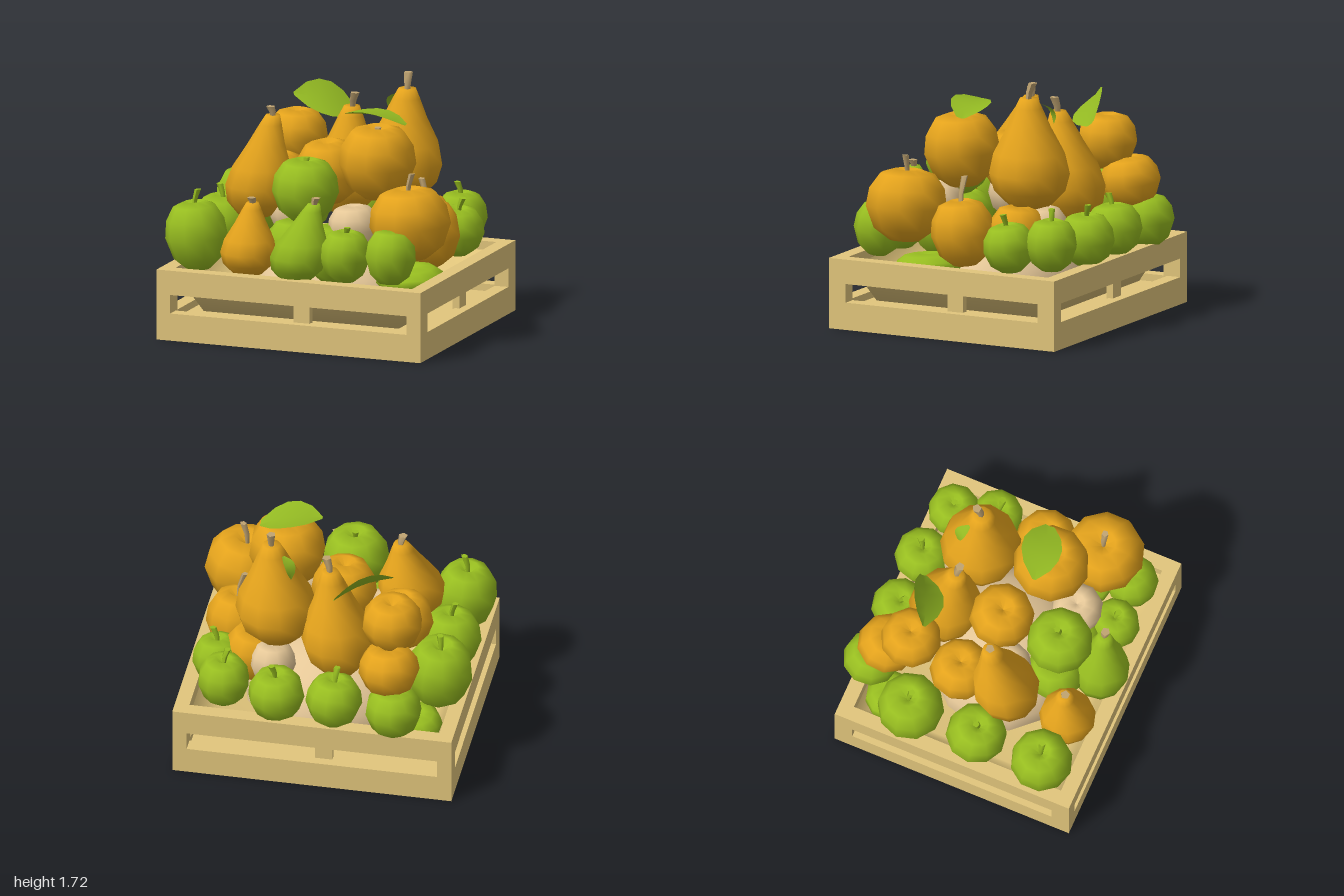
import * as THREE from 'three';

const mat = (name, color, side = THREE.FrontSide) => {
  const m = new THREE.MeshStandardMaterial({ color, side });
  m.name = name;
  return m;
};

export function createModel() {
  const root = new THREE.Group();
  root.name = 'fruitCrate';
  const wood = mat('crateWood', 0xe2c67c, THREE.DoubleSide);
  const tan = mat('paleSkin', 0xe6c898);
  const orange = mat('orangeSkin', 0xe4a31c);
  const green = mat('greenSkin', 0x98be20);
  const leafGreen = mat('leafGreen', 0x92b822, THREE.DoubleSide);
  const stemBrown = mat('stemBrown', 0xc0a472);

  const add = (name, geo, m, parent = root) => {
    const mesh = new THREE.Mesh(geo, m);
    mesh.name = name;
    parent.add(mesh);
    return mesh;
  };

  // Crate: four slotted walls, each with a thin skirt below and a recessed post
  const crate = new THREE.Group();
  crate.name = 'crate';
  crate.position.set(0.01, 0, 0.04);
  root.add(crate);
  const W = 1.94, D = 1.74, T = 0.1, SKIRT = 0.03;
  const wall = (name, length, slot, distance, angle, inset) => {
    const h = length / 2 - inset, s = slot / 2;
    const shape = new THREE.Shape();
    shape.moveTo(-h, 0.14).lineTo(h, 0.14).lineTo(h, 0.5).lineTo(-h, 0.5).closePath();
    const hole = new THREE.Path();
    hole.moveTo(-s, 0.2).lineTo(-s, 0.33).lineTo(s, 0.33).lineTo(s, 0.2).closePath();
    shape.holes.push(hole);
    const g = new THREE.Group();
    g.name = name;
    g.rotation.y = angle;
    crate.add(g);
    add('slottedWall', new THREE.ExtrudeGeometry(shape, { depth: T, bevelEnabled: false }), wood, g)
      .position.z = distance - T;
    add('skirt', new THREE.BoxGeometry(length - (inset ? 2 * SKIRT : 0), 0.13, SKIRT), wood, g)
      .position.set(0, 0.075, distance - SKIRT / 2);
    add('post', new THREE.BoxGeometry(0.12, 0.2, 0.05), wood, g).position.set(0.07, 0.27, distance - T + 0.01);
  };
  wall('frontWall', W, 1.74, D / 2, 0, 0);
  wall('backWall', W, 1.74, D / 2, Math.PI, 0);
  wall('rightWall', D, 1.48, W / 2, Math.PI / 2, T);
  wall('leftWall', D, 1.48, W / 2, -Math.PI / 2, T);

  const lathe = (pts, sides) => new THREE.LatheGeometry(pts.map(([r, y]) => new THREE.Vector2(r, y)), sides);

  // Tapered inner tray and recessed bottom panel
  const tray = lathe([[0, 0.18], [1.18, 0.18], [Math.SQRT2, 0.44]], 4);
  tray.rotateY(Math.PI / 4).scale(0.86, 1, 0.76);
  add('innerTray', tray, wood, crate);
  add('bottomPanel', new THREE.BoxGeometry(W - 2 * SKIRT, 0.02, D - 2 * SKIRT), wood, crate).position.y = 0.14;

  // Pale filling under the fruit
  const heap = add('filling', new THREE.SphereGeometry(1, 14, 6, 0, Math.PI * 2, 0, Math.PI / 2), tan);
  heap.scale.set(0.6, 0.44, 0.52);
  heap.position.set(0.04, 0.2, 0.04);

  // Bent, tapering stem
  const stem = (parent, x, y, z, length, turn, m, thick) => {
    const geo = new THREE.CylinderGeometry(0.027 * thick, 0.015 * thick, length, 5, 2);
    geo.translate(0, length / 2, 0);
    const p = geo.attributes.position;
    for (let i = 0; i < p.count; i++) {
      const t = p.getY(i) / length;
      p.setX(i, p.getX(i) + 0.25 * length * t * t);
    }
    geo.computeVertexNormals();
    const s = add('stem', geo, m, parent);
    s.position.set(x, y, z);
    s.rotation.y = turn;
  };

  // Round fruit with a dimpled crown: centre, radius, half height, stem length
  const roundGeo = lathe([[0, -0.9], [0.38, -0.98], [0.78, -0.66], [1, -0.05], [0.93, 0.45], [0.68, 0.85], [0.32, 0.98], [0, 0.7]], 10);
  const roundFruit = (name, skin, stemSkin, list) => list.forEach(([x, y, z, r, h, stemLength = 0], i) => {
    const g = new THREE.Group();
    g.name = name;
    g.position.set(x, y, z);
    g.rotation.set(0.08 * Math.sin(i * 2.1), i * 1.7, 0.08 * Math.cos(i * 1.3));
    root.add(g);
    add('flesh', roundGeo, skin, g).scale.set(r, h, r);
    if (stemLength) stem(g, 0, h * 0.7, 0, stemLength, i, stemSkin, 0.9);
  });
  roundFruit('greenApple', green, green, [
    [-0.78, 0.7, 0.63, 0.215, 0.24, 0.15],
    [-0.77, 0.68, 0.14, 0.21, 0.21, 0.13],
    [-0.785, 0.73, -0.34, 0.23, 0.25, 0.12],
    [-0.54, 0.65, -0.74, 0.195, 0.18, 0.1],
    [-0.12, 0.66, -0.71, 0.195, 0.18, 0.12],
    [0.28, 0.66, -0.71, 0.195, 0.18, 0.12],
    [0.66, 0.68, -0.64, 0.18, 0.18, 0.12],
    [0.75, 0.65, -0.36, 0.18, 0.17, 0.12],
    [0.67, 0.68, 0.68, 0.18, 0.19, 0.08],
    [0.34, 0.66, 0.69, 0.175, 0.18, 0.08],
    [-0.05, 1.04, 0.45, 0.23, 0.22, 0.07],
    [-0.13, 0.63, 0.45, 0.2, 0.2],
    [0.16, 0.62, 0.47, 0.2, 0.2],
    [0.67, 0.44, 0.31, 0.24, 0.1],
    [-0.66, 0.42, -0.54, 0.18, 0.11],
  ]);
  roundFruit('paleFruit', tan, stemBrown, [
    [0.3, 0.8, 0.43, 0.18, 0.16],
    [0.36, 0.72, -0.43, 0.16, 0.16],
    [-0.26, 0.8, 0.16, 0.16, 0.15],
  ]);
  roundFruit('orangeFruit', orange, stemBrown, [
    [0.72, 0.87, 0.45, 0.28, 0.25, 0.17],
    [0.69, 0.71, 0.03, 0.22, 0.23, 0.22],
    [0.52, 0.7, -0.3, 0.2, 0.2],
    [0.38, 1.22, 0.2, 0.265, 0.255, 0.06],
    [-0.05, 1.08, 0.02, 0.225, 0.22],
    [-0.48, 0.96, -0.1, 0.215, 0.2],
    [-0.48, 1.19, -0.47, 0.21, 0.19],
    [-0.49, 0.92, -0.64, 0.21, 0.18],
  ]);

  // Pears: profile sheared upward so the neck leans
  const pearProfile = [[0, 0.02], [0.5, 0], [0.88, 0.14], [1, 0.3], [0.89, 0.48], [0.57, 0.7], [0.34, 0.89], [0.22, 0.98], [0, 0.97]];
  const pear = (m, x, z, y0, y1, r, leanX, leanZ, stemLength) => {
    const g = new THREE.Group();
    g.name = m === green ? 'greenPear' : 'orangePear';
    g.position.set(x, y0, z);
    root.add(g);
    const h = y1 - y0;
    const geo = lathe(pearProfile, 11).scale(r, h, r);
    const p = geo.attributes.position;
    for (let i = 0; i < p.count; i++) {
      const t = Math.pow(Math.max(p.getY(i) / h, 0), 1.4);
      p.setX(i, p.getX(i) + leanX * t);
      p.setZ(i, p.getZ(i) + leanZ * t);
    }
    add('flesh', geo, m, g);
    stem(g, leanX, h * 0.95, leanZ, stemLength, x * 5, stemBrown, 1.2);
  };
  pear(orange, 0.35, -0.31, 0.87, 1.64, 0.28, 0.04, -0.01, 0.13);
  pear(orange, -0.49, 0.27, 0.79, 1.47, 0.23, 0.06, -0.18, 0.08);
  pear(orange, -0.1, -0.4, 0.72, 1.48, 0.25, 0.08, 0.07, 0.12);
  pear(orange, -0.39, 0.66, 0.47, 0.97, 0.195, 0.02, -0.04, 0.05);
  pear(green, -0.01, 0.73, 0.47, 1.02, 0.2, 0.13, -0.02, 0.06);

  // Leaves: a grid bent along a midrib from base to tip
  const leaf = (base, tip, side, width) => {
    const a = new THREE.Vector3(...base), b = new THREE.Vector3(...tip);
    const s = new THREE.Vector3(...side).normalize();
    const up = s.clone().cross(b.clone().sub(a)).normalize();
    if (up.y < 0) up.negate();
    const geo = new THREE.PlaneGeometry(1, 1, 2, 5);
    const p = geo.attributes.position, v = new THREE.Vector3();
    for (let i = 0; i < p.count; i++) {
      const t = p.getY(i) + 0.5, u = p.getX(i) * 2;
      const w = Math.pow(Math.sin(Math.PI * Math.min(0.04 + t * 0.95, 1)), 0.7) * width / 2;
      v.lerpVectors(a, b, t).addScaledVector(s, u * w);
      v.addScaledVector(up, 0.03 * Math.sin(Math.PI * t) + 0.2 * w * Math.abs(u));
      p.setXYZ(i, v.x, v.y, v.z);
    }
    geo.computeVertexNormals();
    add('leaf', geo, leafGreen);
  };
  leaf([-0.09, 1.38, -0.55], [-0.47, 1.5, -0.38], [-0.25, 0.6, -0.55], 0.29);
  leaf([0.55, 1.47, 0.12], [0.13, 1.53, 0.18], [0, 0.1, 1], 0.29);
  leaf([0.3, 1.57, -0.37], [0.23, 1.43, -0.43], [0.5, 0, -0.7], 0.09);

  return root;
}
